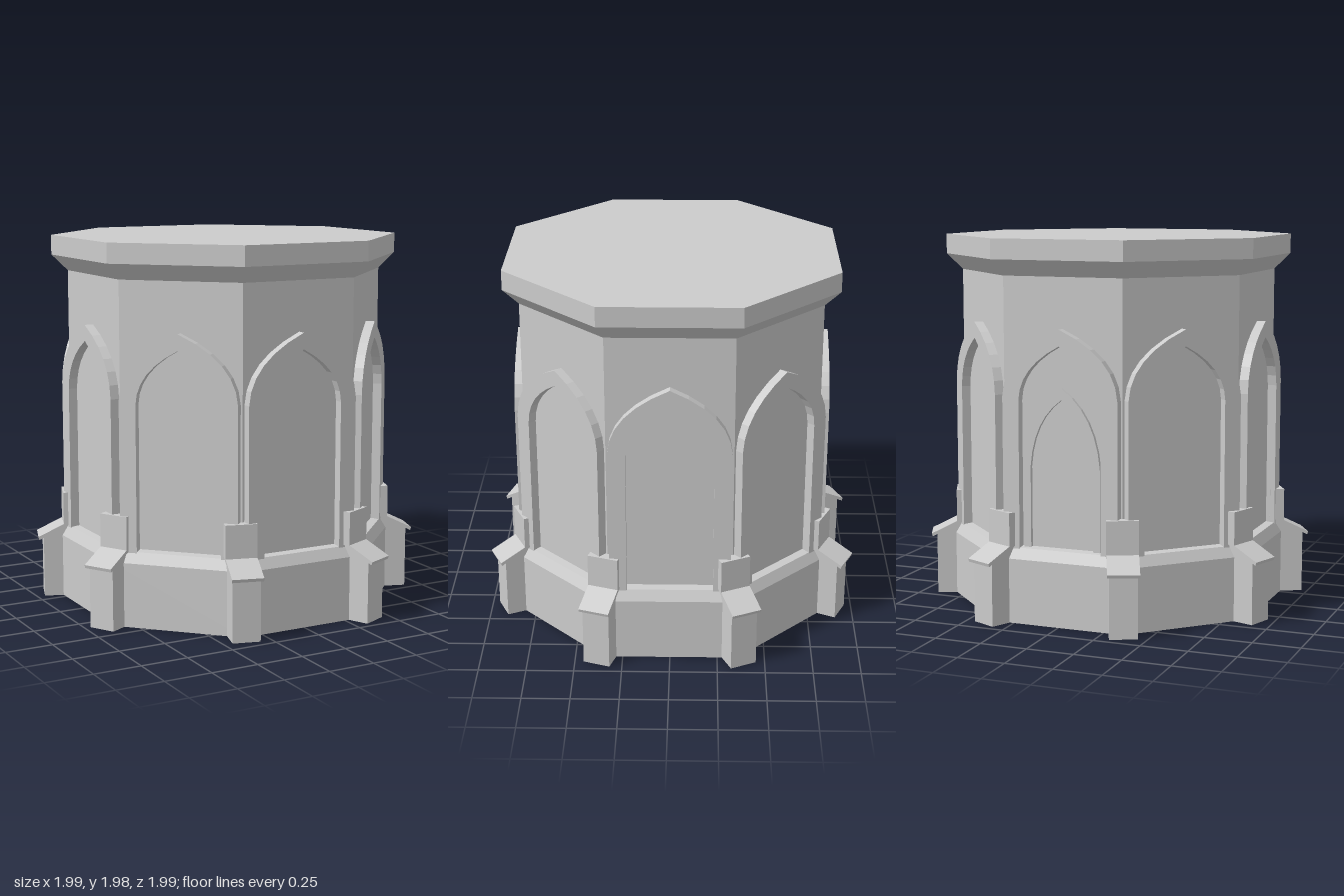
import * as THREE from 'three';

const material = new THREE.MeshStandardMaterial({
  color: 0xcccccc, flatShading: true, side: THREE.DoubleSide,
});
const STEP = Math.PI / 4;
const TO_RADIUS = 1 / Math.cos(Math.PI / 8); // apothem to corner radius

function add(parent, name, geometry) {
  const mesh = new THREE.Mesh(geometry, material);
  mesh.name = name;
  parent.add(mesh);
  return mesh;
}

// Octagonal shell from [apothem, y] pairs, with flat faces toward +z and +x
function octagon(profile) {
  const points = profile.map(([a, y]) => new THREE.Vector2(a * TO_RADIUS, y));
  return new THREE.LatheGeometry(points, 8, Math.PI / 8);
}

// Pointed-arch band standing on y = bottom, extruded from z = back to z = front
function archBand(outer, inner, bottom, back, front) {
  const s = new THREE.Shape();
  const [o, i] = [outer, inner];
  s.moveTo(o.w, bottom);
  s.lineTo(o.w, o.spring);
  s.quadraticCurveTo(o.cx, o.cy, 0, o.apex);
  s.quadraticCurveTo(-o.cx, o.cy, -o.w, o.spring);
  s.lineTo(-o.w, bottom);
  s.lineTo(-i.w, bottom);
  s.lineTo(-i.w, i.spring);
  s.quadraticCurveTo(-i.cx, i.cy, 0, i.apex);
  s.quadraticCurveTo(i.cx, i.cy, i.w, i.spring);
  s.lineTo(i.w, bottom);
  s.closePath();
  const g = new THREE.ExtrudeGeometry(s, { depth: front - back, bevelEnabled: false, curveSegments: 6 });
  return g.translate(0, 0, back);
}

// Buttress pier: hollow box, open below, its top following the slope of the cap
function pierGeometry(width, inner, outer) {
  const g = new THREE.BoxGeometry(width, 1, outer - inner);
  g.translate(0, 0.5, (inner + outer) / 2);
  const p = g.attributes.position;
  for (let k = 0; k < p.count; k++) {
    if (p.getY(k) > 0.5) p.setY(k, p.getZ(k) > (inner + outer) / 2 ? 0.335 : 0.43);
  }
  const index = Array.from(g.index.array);
  index.splice(18, 6); // drop the underside
  g.setIndex(index);
  g.computeVertexNormals();
  return g;
}

// Buttress cap: upright block that runs out into a thin sloping eave
function capGeometry(width) {
  const profile = [[0.82, 0.58], [0.9, 0.58], [0.9, 0.405], [1.04, 0.337], [1.035, 0.32], [0.82, 0.425]];
  const shape = new THREE.Shape(profile.map(([r, y]) => new THREE.Vector2(r, y)));
  const g = new THREE.ExtrudeGeometry(shape, { depth: width, bevelEnabled: false });
  return g.translate(0, 0, -width / 2).rotateY(-Math.PI / 2);
}

export function createModel() {
  const model = new THREE.Group();
  model.name = 'octagonalTower';

  // Main shell, open at the bottom
  add(model, 'base', octagon([[0.86, 0], [0.86, 0.34], [0.83, 0.395], [0.785, 0.4]]));
  add(model, 'wall', octagon([[0.785, 0.4], [0.785, 1.79]]));
  add(model, 'roofSlab', octagon([[0.785, 1.79], [0.865, 1.875], [0.865, 1.98], [0, 1.98]]));

  // Pointed arch frame on every face
  const frame = archBand(
    { w: 0.315, spring: 1.18, cx: 0.305, cy: 1.4, apex: 1.53 },
    { w: 0.225, spring: 1.16, cx: 0.22, cy: 1.33, apex: 1.445 },
    0.385, 0.775, 0.833);
  for (let i = 0; i < 8; i++) {
    add(model, 'archFrame', frame).rotation.y = i * STEP;
  }

  // Smaller doorway inside the rear arch
  const door = archBand(
    { w: 0.21, spring: 0.82, cx: 0.19, cy: 1.1, apex: 1.23 },
    { w: 0.172, spring: 0.82, cx: 0.155, cy: 1.06, apex: 1.17 },
    0.39, 0.775, 0.805);
  add(model, 'doorFrame', door).rotation.y = Math.PI;

  // Corner buttresses, each slightly twisted by hand (degrees)
  const twists = [2.4, 4, 2.5, -2.5, 0.7, 3.5, 7, 7];
  const pivot = 0.98;
  const pier = pierGeometry(0.145, 0.82, 1.01).translate(0, 0, -pivot);
  const cap = capGeometry(0.165).translate(0, 0, -pivot);
  twists.forEach((twist, i) => {
    const angle = (i + 0.5) * STEP;
    const buttress = new THREE.Group();
    buttress.name = 'buttress';
    buttress.position.set(Math.sin(angle) * pivot, 0, Math.cos(angle) * pivot);
    buttress.rotation.y = angle + THREE.MathUtils.degToRad(twist);
    add(buttress, 'buttressPier', pier);
    add(buttress, 'buttressCap', cap);
    model.add(buttress);
  });

  return model;
}
